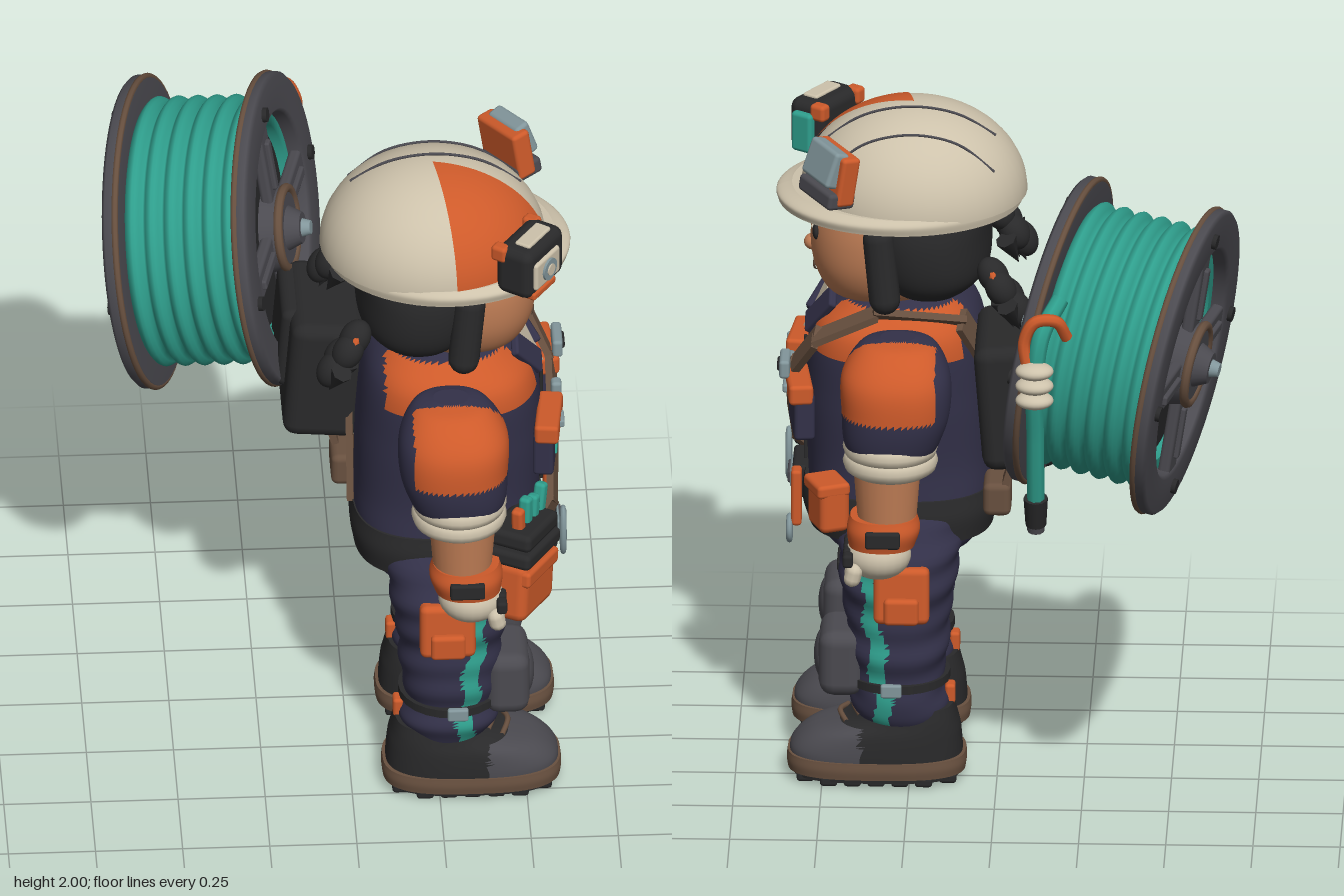
import * as THREE from 'three';
import { RoundedBoxGeometry } from 'three/addons/geometries/RoundedBoxGeometry.js';

const mat = {};
for (const [name, color] of Object.entries({
  cream: 0xcdc2ab, orange: 0xcd5a2a, navy: 0x333149, black: 0x29292a, grey: 0x4b4a50,
  teal: 0x2f9f8d, skin: 0xbf7d55, brown: 0x68503f, silver: 0x82969b,
})) mat[name] = Object.assign(new THREE.MeshStandardMaterial({ color }), { name });
const V = (x, y, z) => new THREE.Vector3(x, y, z);

function add(parent, name, geo, m, pos = [0, 0, 0], rot = [0, 0, 0], scale = [1, 1, 1]) {
  const mesh = new THREE.Mesh(geo, Array.isArray(m) ? m.map(k => mat[k]) : mat[m]);
  mesh.name = name;
  mesh.position.set(...pos); mesh.rotation.set(...rot); mesh.scale.set(...scale);
  parent.add(mesh);
  return mesh;
}
const box = (w, h, d, r = 0.012) => new RoundedBoxGeometry(w, h, d, 2, Math.min(r, w / 3, h / 3, d / 3));
const cyl = (a, b, h, n = 24) => new THREE.CylinderGeometry(a, b, h, n);
const ball = r => new THREE.SphereGeometry(r, 24, 16);
const tube = (pts, r, n = 30) => new THREE.TubeGeometry(new THREE.CatmullRomCurve3(pts.map(p => V(...p))), n, r, 8);

// Smooth body through sections [y, rx, rz, cx, cz], listed from the top down
function loft(secs, power = 2.3, bump = 0) {
  const rows = secs.length * 6;
  const size = new THREE.CatmullRomCurve3(secs.map(s => V(s[1], s[0], s[2])));
  const mid = new THREE.CatmullRomCurve3(secs.map(s => V(s[3], s[0], s[4])));
  const g = new THREE.CylinderGeometry(1, 1, 1, 64, rows), p = g.attributes.position;
  const soft = v => Math.sign(v) * Math.abs(v) ** (2 / power);
  for (let i = 0; i < p.count; i++) {
    const t = THREE.MathUtils.clamp(0.5 - p.getY(i), 0, 1), s = size.getPoint(t), c = mid.getPoint(t);
    const k = 1 + bump * Math.sin(s.y * 62 + p.getX(i) * 2.5);
    p.setXYZ(i, c.x + soft(p.getX(i)) * s.x * k, s.y, c.z + soft(p.getZ(i)) * s.z * k);
  }
  g.computeVertexNormals();
  return g;
}

// Sort faces into material groups by a rule on the face centre
function paint(g, rule) {
  const p = g.attributes.position, sets = [[], []], ix = g.index.array;
  for (let i = 0; i < ix.length; i += 3) {
    const c = V(0, 0, 0), f = [ix[i], ix[i + 1], ix[i + 2]];
    f.forEach(j => c.add(V(p.getX(j), p.getY(j), p.getZ(j))));
    sets[rule(c.divideScalar(3)) ? 1 : 0].push(...f);
  }
  g.setIndex(sets.flat());
  g.clearGroups();
  g.addGroup(0, sets[0].length, 0);
  g.addGroup(sets[0].length, sets[1].length, 1);
  return g;
}

// Flat strap through a chain of points
function strap(parent, name, pts, w, d, m) {
  for (let i = 1; i < pts.length; i++) {
    const a = V(...pts[i - 1]), b = V(...pts[i]);
    const mesh = add(parent, name, new THREE.BoxGeometry(w, d, a.distanceTo(b) + 0.015), m);
    mesh.position.copy(a).lerp(b, 0.5);
    mesh.quaternion.setFromRotationMatrix(new THREE.Matrix4().lookAt(b, a, V(0, 0.3, 1)));
  }
}

function buildHead(p) {
  add(p, 'neck', cyl(0.11, 0.13, 0.12), 'skin', [0, 1.42, 0.29]);
  add(p, 'head', loft([[1.76, 0.22, 0.2, 0, 0.31], [1.63, 0.235, 0.215, 0, 0.325], [1.53, 0.222, 0.205, 0, 0.33],
    [1.45, 0.175, 0.165, 0, 0.335], [1.415, 0.09, 0.09, 0, 0.345]]), 'skin');
  add(p, 'hair', loft([[1.78, 0.25, 0.2, 0, 0.21], [1.65, 0.28, 0.19, 0, 0.21], [1.52, 0.26, 0.17, 0, 0.2],
    [1.46, 0.2, 0.11, 0, 0.2], [1.44, 0.1, 0.06, 0, 0.2]]), 'black');
  add(p, 'nose', ball(0.026), 'skin', [0, 1.56, 0.535], [0, 0, 0], [1.1, 0.9, 1]);
  add(p, 'mouth', tube([[-0.075, 1.515, 0.517], [-0.03, 1.497, 0.525], [0.03, 1.497, 0.525], [0.075, 1.515, 0.517]], 0.009), 'brown');
  for (const s of [-1, 1]) {
    add(p, 'eye', ball(0.028), 'black', [s * 0.1, 1.635, 0.522], [0, 0, 0], [1.1, 0.9, 0.4]);
    add(p, 'eyeGlint', ball(0.006), 'cream', [s * 0.1 - 0.008, 1.645, 0.532]);
    add(p, 'eyebrow', box(0.08, 0.016, 0.012), 'black', [s * 0.105, 1.685, 0.52], [0, s * 0.25, s * -0.15]);
    add(p, 'sideLock', new THREE.CapsuleGeometry(0.045, 0.18, 6, 12), 'black', [s * 0.255, 1.58, 0.33], [0.1, 0, s * 0.06]);
    for (let i = 0; i < 3; i++)
      add(p, 'fringe', new THREE.ConeGeometry(0.045, 0.08, 8), 'black', [s * (0.09 + i * 0.06), 1.705, 0.505 - i * 0.04], [Math.PI, 0, s * 0.5], [1, 1, 0.5]);
    // Tied tufts behind the ears
    add(p, 'hairTie', new THREE.TorusGeometry(0.035, 0.013, 8, 16), 'orange', [s * 0.25, 1.555, 0.0], [0.5, 0, 0]);
    for (let i = 0; i < 4; i++) {
      add(p, 'hairTuft', ball(0.048), 'black', [s * (0.24 + 0.025 * (i % 2)), 1.56 - i * 0.03, 0.01 - i * 0.022], [0.5, 0, 0], [1, 1.2, 0.9]);
      add(p, 'hairTip', new THREE.ConeGeometry(0.032, 0.1, 7), 'black', [s * (0.2 + i * 0.035), 1.455, -0.03 - 0.02 * (i % 2)], [Math.PI + 0.4, 0, s * (i - 1.5) * 0.25]);
    }
  }
}

function buildHelmet(p) {
  const onDome = (x, z) => [x, 1.73 + 0.27 * Math.sqrt(Math.max(0, 1 - (x / 0.3) ** 2 - ((z - 0.245) / 0.325) ** 2)), z];
  const dome = (a, b) => new THREE.SphereGeometry(1, 40, 20, a, b, 0, Math.PI / 2);
  add(p, 'helmetDome', dome(0, Math.PI * 2), 'cream', [0, 1.73, 0.245], [0, 0, 0], [0.3, 0.266, 0.325]);
  add(p, 'helmetPanel', dome(0.17, 1.23), 'orange', [0, 1.73, 0.245], [0, 0, 0], [0.304, 0.269, 0.329]);
  add(p, 'helmetBrim', loft([[1.75, 0.3, 0.33, 0, 0.265], [1.73, 0.315, 0.353, 0, 0.285], [1.705, 0.31, 0.35, 0, 0.285]], 2), 'cream');
  for (const x of [0.04, 0.16])
    add(p, 'helmetGroove', tube([0, 1, 2, 3, 4, 5].map(i => onDome(x, 0.01 + i * 0.098)), 0.004), 'grey');
  // Lamp on the right brow
  const lamp = new THREE.Group(); lamp.name = 'headLamp';
  lamp.position.set(-0.265, 1.835, 0.51); lamp.rotation.y = -0.6; p.add(lamp);
  add(lamp, 'lampBody', box(0.2, 0.16, 0.12, 0.03), 'black');
  add(lamp, 'lampTop', box(0.12, 0.02, 0.05), 'cream', [0, 0.078, 0.01]);
  add(lamp, 'lampBezel', box(0.13, 0.09, 0.03), 'cream', [-0.01, -0.005, 0.055]);
  add(lamp, 'lampLens', cyl(0.034, 0.034, 0.03), 'silver', [-0.01, -0.005, 0.062], [Math.PI / 2, 0, 0]);
  add(lamp, 'lampCore', cyl(0.018, 0.018, 0.02), 'cream', [-0.01, -0.005, 0.071], [Math.PI / 2, 0, 0]);
  for (const x of [-0.085, 0.085])
    add(lamp, 'lampBracket', box(0.04, 0.05, 0.05), 'orange', [x, 0.055, -0.045]);
  add(lamp, 'lampFoot', box(0.12, 0.025, 0.05), 'orange', [-0.02, -0.07, 0.04]);
  add(lamp, 'lampBattery', box(0.04, 0.12, 0.07), 'teal', [0.1, -0.01, 0.0]);
  // Folded visor on the left brow
  const visor = new THREE.Group(); visor.name = 'visor';
  visor.position.set(0.25, 1.88, 0.47); visor.rotation.set(-0.15, 0.6, 0); p.add(visor);
  add(visor, 'visorFrame', box(0.18, 0.15, 0.06), 'orange');
  add(visor, 'visorHinge', box(0.17, 0.05, 0.09), 'grey', [0, -0.06, 0.01]);
  add(visor, 'visorGlass', box(0.14, 0.11, 0.05), 'silver', [0, 0.03, 0.03], [-0.2, 0, 0]);
}

function buildTorso(p) {
  const torso = loft([[1.46, 0.12, 0.12, 0, 0.29], [1.42, 0.21, 0.18, 0, 0.28], [1.35, 0.275, 0.24, 0, 0.29], [1.15, 0.27, 0.265, 0, 0.29],
    [0.95, 0.25, 0.265, 0, 0.285], [0.82, 0.255, 0.26, 0, 0.28], [0.7, 0.25, 0.22, 0, 0.28], [0.65, 0.15, 0.14, 0, 0.28]], 2.7);
  add(p, 'torso', paint(torso, c => c.y > 1.3 && c.y < 1.43 && Math.abs(c.x) > 0.11 && c.z > 0.1), ['navy', 'orange']);
  const vee = new THREE.Shape([[0, 0], [0.075, 0.15], [-0.075, 0.15]].map(q => new THREE.Vector2(...q)));
  add(p, 'shirtFront', new THREE.ExtrudeGeometry(vee, { depth: 0.008, bevelEnabled: false }), 'cream', [0, 1.295, 0.556], [-0.48, 0, 0]);
  add(p, 'zip', box(0.014, 0.38, 0.01), 'black', [0, 1.08, 0.556]);
  add(p, 'belt', loft([[0.86, 0.262, 0.272, 0, 0.285], [0.8, 0.27, 0.28, 0, 0.285], [0.73, 0.262, 0.265, 0, 0.28]], 2.7), 'black');
  for (const s of [-1, 1]) {
    add(p, 'collar', box(0.075, 0.15, 0.025), 'navy', [s * 0.085, 1.385, 0.51], [-0.48, s * 0.25, s * -0.45]);
    const x = s < 0 ? -0.15 : 0.2;
    add(p, 'chestPocket', box(0.185, 0.14, 0.06), 'navy', [x, 1.13, 0.56], [0, s * 0.12, 0]);
    add(p, 'pocketFlap', box(0.195, 0.06, 0.07), 'orange', [x, 1.2, 0.57], [0, s * 0.12, 0]);
    add(p, 'pocketSnap', box(0.06, 0.025, 0.02), 'silver', [x, 1.195, 0.605]);
  }
  add(p, 'pocketMark', box(0.035, 0.08, 0.008), 'teal', [-0.15, 1.125, 0.592], [0, -0.12, -0.4]);
  // Shoulder strap running across the chest and down the back
  strap(p, 'shoulderStrap', [[-0.23, 0.84, 0.52], [-0.16, 0.92, 0.58], [0, 1.09, 0.59], [0.13, 1.22, 0.59], [0.22, 1.35, 0.52], [0.23, 1.43, 0.35],
    [0.2, 1.4, 0.1], [0.1, 1.2, 0.01], [0.0, 0.85, 0.01]], 0.08, 0.02, 'brown');
  add(p, 'strapBuckle', box(0.11, 0.055, 0.03), 'silver', [0.17, 1.25, 0.61]);
  add(p, 'strapBuckleCore', box(0.06, 0.025, 0.02), 'black', [0.17, 1.25, 0.622]);
  add(p, 'radioClip', box(0.04, 0.08, 0.03), 'silver', [0.01, 1.18, 0.6]);
  // Belt tools
  add(p, 'buckle', box(0.17, 0.1, 0.05), 'black', [-0.09, 0.81, 0.57]);
  add(p, 'buckleFrame', box(0.12, 0.06, 0.03), 'silver', [-0.09, 0.81, 0.588]);
  add(p, 'buckleCore', box(0.095, 0.038, 0.02), 'grey', [-0.09, 0.81, 0.6]);
  const pouch = new THREE.Group(); pouch.name = 'toolPouch';
  pouch.position.set(-0.305, 0.755, 0.48); pouch.rotation.set(0, -0.5, -0.1); p.add(pouch);
  add(pouch, 'pouchBody', box(0.21, 0.19, 0.13, 0.03), 'orange');
  add(pouch, 'pouchLid', box(0.2, 0.05, 0.15), 'orange', [0, 0.05, 0]);
  add(pouch, 'pouchFlap', box(0.22, 0.05, 0.15, 0.02), 'black', [0, 0.11, 0]);
  add(pouch, 'pouchRoll', box(0.2, 0.055, 0.14, 0.025), 'black', [0, 0.165, 0]);
  for (let i = 0; i < 4; i++)
    add(pouch, 'toolHandle', box(0.034, 0.13, 0.035), i ? 'teal' : 'orange', [-0.05 + i * 0.045, 0.19 + 0.015 * (i % 2), 0.01], [0, 0, 0.15 - i * 0.1]);
  add(p, 'sidePouch', box(0.12, 0.14, 0.09, 0.02), 'orange', [0.3, 0.87, 0.48], [0, 0.4, 0]);
  add(p, 'sidePouchFlap', box(0.125, 0.04, 0.1), 'orange', [0.3, 0.93, 0.485], [0, 0.4, 0]);
  add(p, 'beltTab', box(0.055, 0.17, 0.03), 'orange', [0.07, 0.8, 0.58]);
  add(p, 'ring', new THREE.TorusGeometry(0.034, 0.009, 8, 20), 'silver', [0.07, 0.7, 0.6]);
  add(p, 'carabiner', new THREE.TorusGeometry(0.04, 0.009, 8, 20), 'silver', [-0.18, 0.83, 0.61], [0, 0, 0], [0.7, 1.7, 1]);
  add(p, 'backPouch', box(0.14, 0.1, 0.08, 0.02), 'brown', [0.17, 0.86, 0.0]);
  strap(p, 'packStrap', [[0.2, 1.03, -0.06], [0.2, 0.82, 0.0]], 0.06, 0.02, 'brown');
  // Pack frame that carries the reel
  add(p, 'pack', box(0.38, 0.38, 0.22, 0.04), 'black', [0.22, 1.21, -0.06], [0.08, 0, 0]);
  add(p, 'packPlate', box(0.28, 0.26, 0.08, 0.03), 'black', [0.26, 1.27, -0.15], [0.08, 0, 0]);
}

function buildArm(p, s) {
  const sleeve = loft([[1.405, 0.04, 0.05, s * 0.33, 0.28], [1.385, 0.1, 0.11, s * 0.345, 0.28], [1.31, 0.143, 0.155, s * 0.375, 0.285],
    [1.2, 0.143, 0.155, s * 0.39, 0.285], [1.12, 0.128, 0.14, s * 0.395, 0.295], [1.07, 0.11, 0.12, s * 0.395, 0.3]]);
  add(p, 'sleeve', paint(sleeve, c => c.y > 1.2 && c.z > 0.17 && s * c.x > 0.29 + 0.55 * Math.max(0, c.y - 1.25)), ['navy', 'orange']);
  for (const y of [1.095, 1.05])
    add(p, 'sleeveCuff', new THREE.TorusGeometry(0.103, 0.034, 10, 32), 'cream', [s * 0.395, y, 0.3], [Math.PI / 2, 0, 0]);
  add(p, 'forearm', cyl(0.1, 0.08, 0.26), 'skin', [s * 0.39, 0.94, 0.31]);
  add(p, 'wristband', loft([[0.88, 0.09, 0.095, s * 0.39, 0.32], [0.84, 0.1, 0.105, s * 0.39, 0.32], [0.79, 0.09, 0.095, s * 0.39, 0.325]]), 'orange');
  add(p, 'wristTab', box(0.025, 0.05, 0.1), 'black', [s * 0.487, 0.835, 0.32]);
  add(p, 'glove', ball(0.09), 'cream', [s * 0.39, 0.755, 0.335], [0, 0, 0], [1, 0.8, 1.05]);
  for (let i = 0; i < 4; i++) {
    const x = s * (0.322 + i * 0.045);
    add(p, 'finger', new THREE.CapsuleGeometry(0.025, 0.02, 4, 10), 'cream', [x, 0.715, 0.405], [-0.25, 0, 0]);
    add(p, 'knuckle', box(0.043, 0.04, 0.03), 'black', [x, 0.762, 0.42]);
  }
}

function buildLeg(p, s) {
  const x = s * 0.195;
  const leg = loft([[0.84, 0.12, 0.2, s * 0.13, 0.28], [0.7, 0.165, 0.175, s * 0.175, 0.28], [0.6, 0.158, 0.165, x, 0.285], [0.5, 0.143, 0.15, x, 0.285],
    [0.4, 0.147, 0.145, x, 0.285], [0.3, 0.134, 0.13, x, 0.285], [0.24, 0.145, 0.14, x, 0.28], [0.17, 0.11, 0.11, x, 0.27]], 2.3, 0.03);
  const stripe = c => s * c.x > 0.25 && c.y < 0.66 && Math.abs(c.z - 0.3 - 0.1 * c.y - 0.01 * Math.sin(c.y * 40)) < 0.024;
  add(p, 'trouserLeg', paint(leg, stripe), ['navy', 'teal']);
  add(p, 'kneePad', box(0.215, 0.2, 0.13, 0.043), 'grey', [x, 0.365, 0.445]);
  add(p, 'kneeCap', ball(0.09), 'grey', [x, 0.365, 0.49], [0, 0, 0], [0.9, 0.9, 0.4]);
  add(p, 'kneeStrap', cyl(0.15, 0.15, 0.025), 'black', [x, 0.31, 0.285]);
  add(p, 'kneeClip', box(0.02, 0.04, 0.06), 'silver', [s * 0.345, 0.31, 0.3]);
  add(p, 'thighHolster', box(0.06, 0.17, 0.16, 0.02), 'orange', [s * 0.345, 0.61, 0.27], [0, 0, s * 0.08]);
  add(p, 'holsterPocket', box(0.04, 0.08, 0.1, 0.015), 'orange', [s * 0.375, 0.57, 0.27]);
  add(p, 'thighStrap', box(0.12, 0.03, 0.02), 'black', [s * 0.15, 0.64, 0.45]);
  add(p, 'ankleTab', box(0.05, 0.06, 0.03), 'orange', [x, 0.25, 0.135]);
  // Boot
  const boot = loft([[0.23, 0.115, 0.125, x, 0.25], [0.19, 0.125, 0.15, x, 0.265], [0.15, 0.137, 0.215, x, 0.32],
    [0.1, 0.142, 0.245, x, 0.345], [0.05, 0.142, 0.248, x, 0.345]], 2.7);
  add(p, 'boot', paint(boot, c => c.z > 0.39 && c.y < 0.175), ['black', 'grey']);
  add(p, 'bootSole', loft([[0.08, 0.147, 0.255, x, 0.345], [0.055, 0.15, 0.258, x, 0.345], [0.03, 0.147, 0.255, x, 0.345]], 2.9), 'brown');
  add(p, 'soleBase', loft([[0.04, 0.135, 0.243, x, 0.345], [0.015, 0.133, 0.24, x, 0.345]], 2.9), 'black');
  for (let i = 0; i < 7; i++)
    add(p, 'bootTread', box(i % 6 ? 0.25 : 0.18, 0.03, 0.05), 'black', [x, 0.015, 0.14 + i * 0.068]);
  for (let i = 0; i < 2; i++)
    add(p, 'bootLace', tube([[x - 0.07, 0.2 - i * 0.02, 0.39 + i * 0.04], [x, 0.21 - i * 0.02, 0.41 + i * 0.04], [x + 0.07, 0.2 - i * 0.02, 0.39 + i * 0.04]], 0.008), 'brown');
}

function buildReel() {
  const reel = new THREE.Group(); reel.name = 'cableReel';
  reel.position.set(-0.365, 1.45, -0.265);
  const axis = V(0.96, 0.155, 0.23).normalize(), side = V(-0.23, 0, 0.96).normalize();
  reel.quaternion.setFromRotationMatrix(new THREE.Matrix4().makeBasis(axis.clone().cross(side), axis, side));
  const lathe = pts => new THREE.LatheGeometry(pts.map(q => new THREE.Vector2(...q)), 64);
  // Wound cable: six scalloped turns
  const turns = [[0.3, -0.17]];
  for (let i = 0; i <= 36; i++) turns.push([0.36 + 0.028 * Math.abs(Math.sin(i * Math.PI / 6)), -0.17 + i * 0.34 / 36]);
  add(reel, 'woundCable', lathe([...turns, [0.3, 0.17], [0.3, -0.17]]), 'teal');
  add(reel, 'drum', cyl(0.285, 0.285, 0.3, 40), 'black');
  add(reel, 'axle', cyl(0.04, 0.04, 0.5), 'grey');
  for (const s of [-1, 1]) {
    const f = new THREE.Group(); f.name = 'reelFlange';
    f.position.y = s * 0.19; if (s < 0) f.rotation.x = Math.PI; reel.add(f);
    add(f, 'rim', lathe([[0.335, -0.025], [0.44, -0.025], [0.45, -0.015], [0.45, 0.015], [0.44, 0.025], [0.345, 0.025], [0.335, 0.015], [0.335, -0.025]]), 'grey');
    add(f, 'rimEdge', new THREE.TorusGeometry(0.445, 0.01, 8, 64), 'brown', [0, -0.014, 0], [Math.PI / 2, 0, 0]);
    add(f, 'hub', cyl(0.115, 0.13, 0.06, 32), 'grey', [0, 0.01, 0]);
    add(f, 'hubRing', new THREE.TorusGeometry(0.115, 0.014, 8, 40), 'brown', [0, 0.035, 0], [Math.PI / 2, 0, 0]);
    add(f, 'hubCap', cyl(0.045, 0.07, 0.05), 'grey', [0, 0.055, 0]);
    add(f, 'hubPin', cyl(0.02, 0.028, 0.03), 'silver', [0, 0.09, 0]);
    for (let i = 0; i < 4; i++) {
      const a = i * Math.PI / 2, c = Math.cos(a), n = Math.sin(a);
      add(f, 'spoke', box(0.26, 0.035, 0.09), 'grey', [c * 0.23, 0, n * 0.23], [0, -a, 0]);
      add(f, 'spokeRib', box(0.16, 0.02, 0.03), 'grey', [c * 0.22, 0.02, n * 0.22], [0, -a, 0]);
      add(f, 'bolt', cyl(0.022, 0.022, 0.02, 10), 'black', [c * 0.39, 0.028, n * 0.39]);
    }
  }
  return reel;
}

export function createModel() {
  const model = new THREE.Group(); model.name = 'lineWorker';
  const person = new THREE.Group(); person.name = 'worker';
  buildHead(person); buildHelmet(person); buildTorso(person);
  for (const s of [-1, 1]) { buildArm(person, s); buildLeg(person, s); }
  person.position.z = 0.22; person.rotation.y = Math.PI / 2;
  model.add(person, buildReel());
  // Loose cable end, clipped beside the rim
  add(model, 'looseCable', tube([[-0.2, 1.72, -0.58], [-0.15, 1.64, -0.65], [-0.13, 1.5, -0.66], [-0.13, 1.3, -0.62], [-0.13, 1.1, -0.58]], 0.026), 'teal');
  add(model, 'cablePlug', cyl(0.035, 0.03, 0.09, 12), 'black', [-0.13, 1.06, -0.572], [-0.2, 0, 0]);
  add(model, 'plugTip', cyl(0.025, 0.025, 0.04, 12), 'grey', [-0.13, 1.015, -0.563], [-0.2, 0, 0]);
  add(model, 'cableHook', tube([[-0.22, 1.62, -0.62], [-0.19, 1.68, -0.65], [-0.13, 1.68, -0.66], [-0.1, 1.62, -0.66], [-0.11, 1.54, -0.67]], 0.018), 'orange');
  for (let i = 0; i < 3; i++)
    add(model, 'cableClamp', ball(0.05), 'cream', [-0.13, 1.54 - i * 0.045, -0.685], [0, 0, 0], [1.1, 0.5, 0.9]);
  return model;
}
